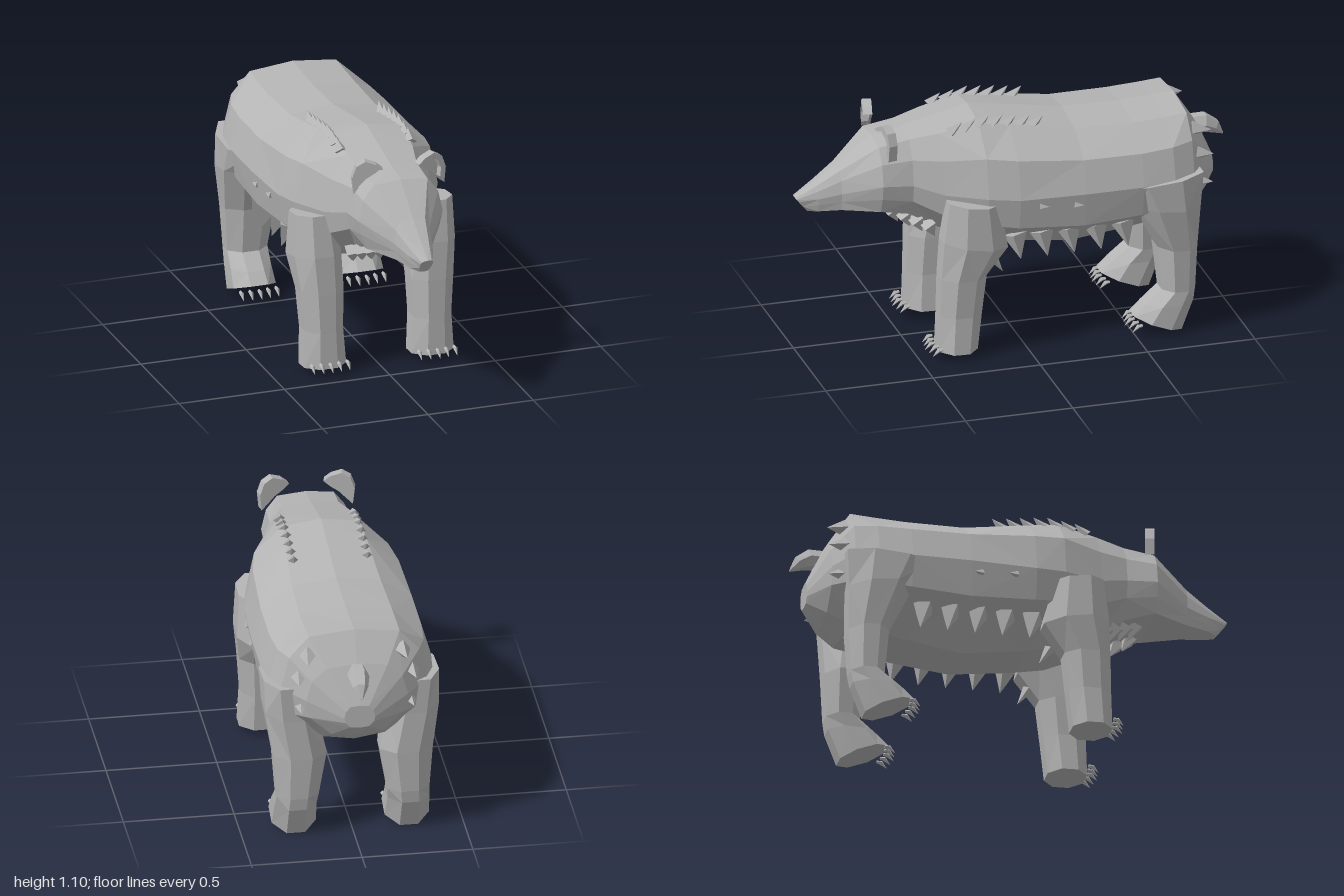
import * as THREE from 'three';

const hide = new THREE.MeshStandardMaterial({ color: 0xb4b4b4, flatShading: true });
hide.name = 'grey hide';

// Skin a list of closed rings and cap both ends
function loft(rings) {
  const pos = [], n = rings[0].length;
  const tri = (a, b, c) => pos.push(...a, ...b, ...c);
  const centre = r => [0, 1, 2].map(k => r.reduce((s, p) => s + p[k], 0) / n);
  for (let i = 0; i < rings.length - 1; i++) {
    for (let j = 0; j < n; j++) {
      const k = (j + 1) % n, A = rings[i], B = rings[i + 1];
      if ((i + j) % 2) {
        tri(A[j], A[k], B[j]); tri(A[k], B[k], B[j]);
      } else {
        tri(A[j], A[k], B[k]); tri(A[j], B[k], B[j]);
      }
    }
  }
  const first = rings[0], last = rings[rings.length - 1];
  for (let j = 0; j < n; j++) {
    const k = (j + 1) % n;
    tri(first[k], first[j], centre(first));
    tri(last[j], last[k], centre(last));
  }
  const g = new THREE.BufferGeometry();
  g.setAttribute('position', new THREE.Float32BufferAttribute(pos, 3));
  g.computeVertexNormals();
  return g;
}

// Body ring: z, top, bottom, half width, widest height, top flatness, belly flatness, bottom set-back
function bodyRing([z, top, bot, w, mid, kt, kb, back = 0]) {
  const h = top - bot;
  const half = [
    [w * kt, top - 0.04 * h],
    [w * 0.89, mid + 0.55 * (top - mid)],
    [w, mid],
    [w * 0.93, mid - 0.45 * (mid - bot)],
    [w * kb, bot + 0.04 * h],
  ];
  const at = (x, y) => [x, y, z - back * (top - y) / h];
  return [
    at(0, top), ...half.map(([x, y]) => at(x, y)),
    at(0, bot), ...half.reverse().map(([x, y]) => at(-x, y)),
  ];
}

// Leg ring: centre x, half width, front z and y, back z and y
function legRing(side, [x, w, zf, yf, zb, yb]) {
  return Array.from({ length: 8 }, (_, i) => {
    const a = (i + 0.5) / 8 * Math.PI * 2, c = Math.cos(a) / Math.cos(Math.PI / 8);
    const t = (c + 1) / 2;
    return [side * x + w * Math.sin(a) / Math.cos(Math.PI / 8), yb + (yf - yb) * t, zb + (zf - zb) * t];
  });
}

// Curved, tapering hook along [y, z, radius] points at a fixed x
function hook(x, path, sides) {
  return loft(path.map(([y, z, r], i) => {
    const [ya, za] = path[Math.max(i - 1, 0)], [yb, zb] = path[Math.min(i + 1, path.length - 1)];
    const l = Math.hypot(yb - ya, zb - za), ty = (yb - ya) / l, tz = (zb - za) / l;
    return Array.from({ length: sides }, (_, j) => {
      const a = j / sides * Math.PI * 2, s = r * Math.sin(a);
      return [x + r * Math.cos(a), y + tz * s, z - ty * s];
    });
  }));
}

export function createModel() {
  const model = new THREE.Group();
  model.name = 'bear';

  const add = (geometry, name, parent = model) => {
    const m = new THREE.Mesh(geometry, hide);
    m.name = name;
    parent.add(m);
    return m;
  };

  // Pointed spike from a base point to a tip
  const spike = (base, tip, r, name, parent) => {
    const a = new THREE.Vector3(...base), d = new THREE.Vector3(...tip).sub(a);
    const m = add(new THREE.ConeGeometry(r, d.length(), 4).translate(0, d.length() / 2, 0), name, parent);
    m.position.copy(a);
    m.quaternion.setFromUnitVectors(new THREE.Vector3(0, 1, 0), d.normalize());
  };

  // Head, trunk and rump in one skin, nose to tail
  add(loft([
    [1.0, 0.74, 0.665, 0.03, 0.72, 0.6, 0.7, 0.06],
    [0.90, 0.80, 0.667, 0.06, 0.735, 0.65, 0.8],
    [0.80, 0.87, 0.67, 0.09, 0.76, 0.65, 0.85],
    [0.64, 0.995, 0.67, 0.20, 0.82, 0.64, 0.8],
    [0.50, 1.02, 0.63, 0.205, 0.81, 0.62, 0.65],
    [0.37, 1.05, 0.54, 0.26, 0.77, 0.6, 0.42],
    [0.19, 1.09, 0.46, 0.34, 0.76, 0.52, 0.36],
    [0.05, 1.07, 0.43, 0.37, 0.75, 0.5, 0.32],
    [-0.25, 1.02, 0.39, 0.385, 0.75, 0.52, 0.3],
    [-0.52, 1.015, 0.43, 0.385, 0.75, 0.54, 0.34],
    [-0.67, 1.022, 0.46, 0.37, 0.755, 0.56, 0.38],
    [-0.77, 1.03, 0.48, 0.33, 0.76, 0.62, 0.42],
    [-0.855, 0.90, 0.54, 0.23, 0.73, 0.6, 0.5],
    [-0.935, 0.73, 0.62, 0.07, 0.67, 0.6, 0.6],
  ].map(bodyRing)), 'body');

  const frontLeg = [
    [0.255, 0.10, 0.41, 0.03, 0.23, 0.025],
    [0.257, 0.09, 0.405, 0.2, 0.21, 0.2],
    [0.26, 0.10, 0.40, 0.38, 0.19, 0.38],
    [0.27, 0.11, 0.39, 0.56, 0.095, 0.51],
    [0.28, 0.09, 0.365, 0.75, 0.13, 0.72],
  ];
  const hindLeg = [
    [0.255, 0.10, -0.50, 0.085, -0.72, 0.0],
    [0.255, 0.095, -0.55, 0.135, -0.775, 0.14],
    [0.25, 0.095, -0.63, 0.20, -0.785, 0.20],
    [0.24, 0.12, -0.61, 0.41, -0.795, 0.40],
    [0.275, 0.118, -0.50, 0.63, -0.80, 0.60],
    [0.30, 0.095, -0.42, 0.74, -0.81, 0.77],
  ];

  // Ear outlines: the crescent plate, and the rim along its upper edge
  const earEdge = [[0.08, 1.055], [0.11, 1.08], [0.16, 1.098], [0.2, 1.075], [0.22, 1.02], [0.212, 0.945]];
  const earInner = [[0.19, 0.975], [0.195, 1.02], [0.18, 1.055], [0.155, 1.075], [0.12, 1.06]];
  const earBase = [[0.175, 0.98], [0.15, 1.005], [0.11, 1.03]];

  for (const s of [1, -1]) {
    const side = s > 0 ? 'left' : 'right';
    const half = new THREE.Group();
    half.name = side + 'Side';
    model.add(half);

    add(loft(frontLeg.map(r => legRing(s, r))), side + 'FrontLeg', half);
    add(loft(hindLeg.map(r => legRing(s, r))), side + 'HindLeg', half);

    // Five hooked claws per foot
    for (const z of [0.405, -0.525]) {
      for (let i = 0; i < 5; i++) {
        const zc = z + 0.012 * (1 - Math.abs(i - 2) / 2);
        add(hook(s * (0.17 + i * 0.042), [
          [0.058, zc, 0.007], [0.056, zc + 0.02, 0.011], [0.03, zc + 0.046, 0.001],
        ], 4), 'claw', half);
      }
    }

    // Cupped ear, turned slightly outward
    const ear = new THREE.Group();
    ear.name = side + 'Ear';
    ear.position.set(s * 0.15, 0, 0.615);
    ear.rotation.y = s * 0.22;
    half.add(ear);
    const earPart = (points, z, depth, name) => {
      const shape = new THREE.Shape(points.map(([x, y]) => new THREE.Vector2(s * (x - 0.15), y)));
      add(new THREE.ExtrudeGeometry(shape, { depth, bevelEnabled: false }).translate(0, 0, z), name, ear);
    };
    earPart([...earEdge, ...earBase], -0.022, 0.012, 'earPlate');
    earPart([...earEdge, ...earInner], -0.01, 0.03, 'earRim');

    // Two rows of spikes along the back
    for (let i = 0; i < 7; i++) {
      const z = 0.32 - i * 0.063, y = 1.05 - Math.abs(z - 0.18) * 0.14;
      spike([s * 0.165, y, z], [s * 0.17, y + 0.05, z - 0.055], 0.03, 'backSpike', half);
    }

    // Belly row
    for (let i = 0; i < 5; i++) {
      const z = 0.05 - i * 0.125;
      spike([s * 0.27, 0.55, z], [s * 0.30, 0.435, z - 0.02], 0.055, 'bellySpike', half);
    }

    // Throat and chest row
    for (let i = 0; i < 4; i++) {
      const z = 0.57 - i * 0.05, x = 0.075 + i * 0.025, y = 0.655 - i * 0.02;
      spike([s * x, y, z], [s * (x - 0.02), y - 0.075, z - 0.04], 0.04, 'chestSpike', half);
    }

    // Elbow spike and small flank spikes
    spike([s * 0.22, 0.43, 0.14], [s * 0.22, 0.35, 0.09], 0.025, 'elbowSpike', half);
    for (const [x, y, z] of [[0.365, 0.71, -0.04], [0.37, 0.70, -0.2], [0.37, 0.745, -0.53]]) {
      spike([s * x, y, z], [s * (x + 0.015), y, z - 0.04], 0.018, 'flankSpike', half);
    }

    // Rump spikes
    for (const [x, y, z] of [[0.21, 0.93, -0.79], [0.25, 0.83, -0.79], [0.24, 0.69, -0.79]]) {
      spike([s * x, y, z], [s * (x + 0.015), y - 0.01, z - 0.09], 0.042, 'rumpSpike', half);
    }
  }

  // Stubby drooping tail
  add(hook(0, [[0.86, -0.85, 0.045], [0.86, -0.91, 0.047], [0.835, -0.96, 0.034], [0.795, -1.0, 0.004]], 6), 'tail');

  return model;
}
